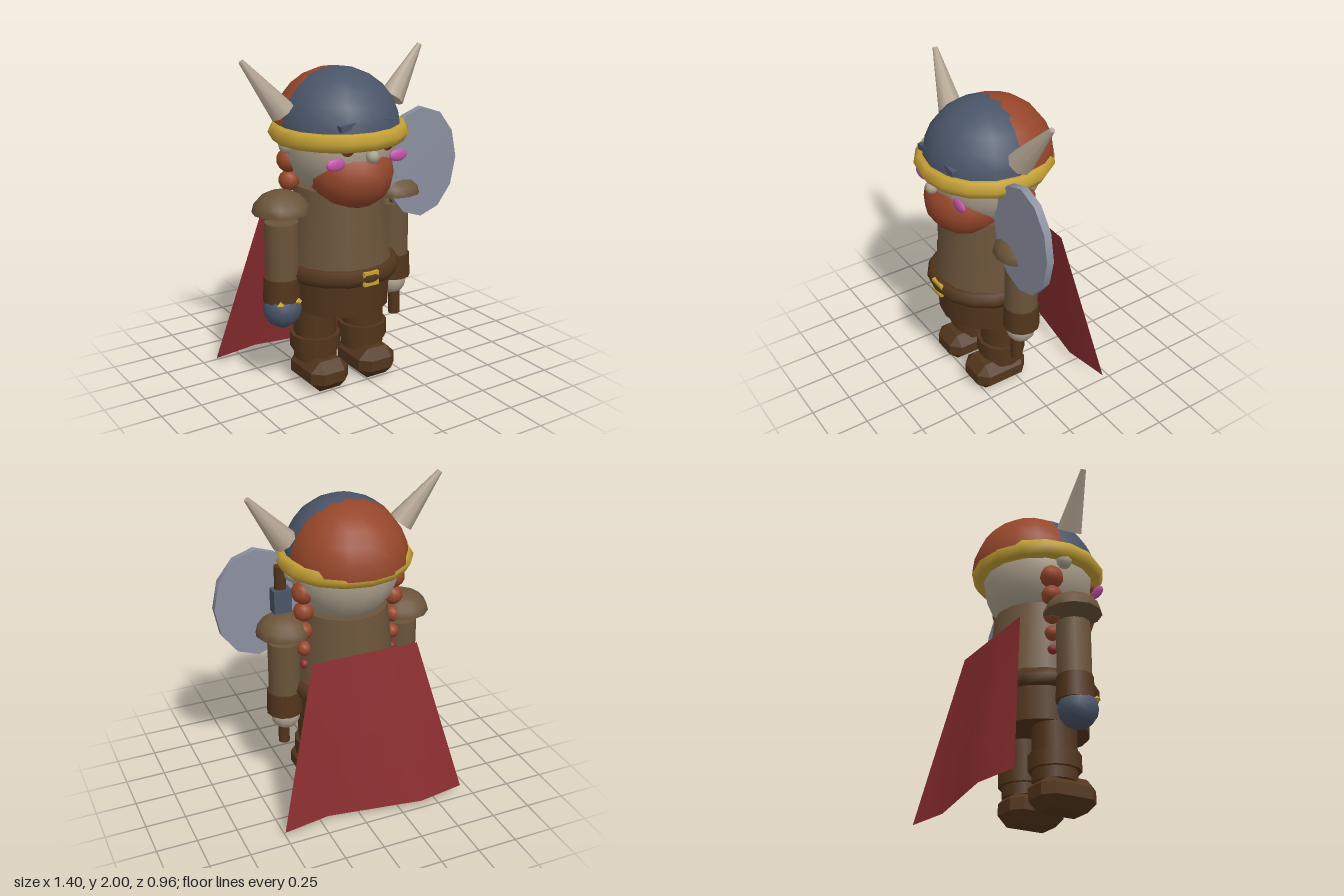
import * as THREE from 'three';
import { ConvexGeometry } from 'three/addons/geometries/ConvexGeometry.js';

const CX = -0.09, CZ = 0.065; // body axis

export function createModel() {
  const root = new THREE.Group();
  const body = new THREE.Group();
  body.name = 'body';
  body.position.set(CX, 0, CZ);
  root.add(body);

  const paint = (name, color, extra = {}) => {
    const m = new THREE.MeshStandardMaterial({ color, ...extra });
    m.name = name;
    return m;
  };
  const double = { side: THREE.DoubleSide };
  const tan = paint('tan leather', 0x6b543a);
  const brown = paint('dark leather', 0x52351c);
  const skin = paint('skin', 0xaea28f);
  const hair = paint('ginger hair', 0x96462a, double);
  const iron = paint('blue iron', 0x4a5568, double);
  const gold = paint('gold', 0xc4a035);
  const pink = paint('rosy pink', 0xc455ac);
  const red = paint('cape red', 0x8a2d30, double);
  const horn = paint('horn', 0xb4a593);
  const steel = paint('steel', 0x8b90a0);

  const add = (name, geo, mat, x = 0, y = 0, z = 0, parent = body) => {
    const m = new THREE.Mesh(geo, mat);
    m.name = name;
    m.position.set(x, y, z);
    parent.add(m);
    return m;
  };
  const ball = (r, w = 12, h = 8) => new THREE.SphereGeometry(r, w, h);
  const dome = (r, w = 16, h = 6) => new THREE.SphereGeometry(r, w, h, 0, Math.PI * 2, 0, Math.PI / 2);
  const tube = (top, bottom, y0, y1, sides = 12) =>
    new THREE.CylinderGeometry(top, bottom, y1 - y0, sides).translate(0, (y0 + y1) / 2, 0);
  const ring = (R, r, sides = 6) => new THREE.TorusGeometry(R, r, sides, 16).rotateX(Math.PI / 2);

  // Box with every edge and corner cut off by c
  const chamferBox = (w, h, d, c) => {
    const pts = [], a = [w / 2, h / 2, d / 2];
    for (const sx of [-1, 1]) for (const sy of [-1, 1]) for (const sz of [-1, 1])
      for (let k = 0; k < 3; k++) {
        const e = a.map((v, i) => (i === k ? v : v - c));
        pts.push(new THREE.Vector3(sx * e[0], sy * e[1], sz * e[2]));
      }
    return new ConvexGeometry(pts);
  };

  // Torso, hips and belt
  add('torso', tube(0.265, 0.32, 0.73, 1.24, 16), tan);
  add('hips', tube(0.31, 0.298, 0.49, 0.735, 16), brown);
  add('belt', ring(0.312, 0.055), brown, 0, 0.737, 0);
  for (const s of [-1, 1]) {
    add('buckleBar', new THREE.BoxGeometry(0.1, 0.018, 0.03), gold, 0, 0.737 + s * 0.033, 0.342);
    add('buckleSide', new THREE.BoxGeometry(0.016, 0.07, 0.03), gold, s * 0.045, 0.737, 0.335);
  }

  // Head, helmet and hair
  add('head', ball(0.335, 16, 12), skin, 0, 1.495, 0);
  add('helmet', dome(0.365), iron, 0, 1.55, 0);
  add('backHair', dome(0.36), hair, 0, 1.55, -0.055);
  add('helmetBrim', ring(0.355, 0.057), gold, 0, 1.55, 0);

  // Beard, open at the top against the face
  const beard = add('beard', new THREE.SphereGeometry(1, 14, 7, 0, Math.PI * 2, 0.98, Math.PI - 0.98),
    hair, 0, 1.32, 0.135);
  beard.scale.set(0.25, 0.21, 0.245);
  add('nose', ball(0.04, 8, 6), skin, 0, 1.46, 0.355);

  // Mirrored parts
  for (const s of [-1, 1]) {
    const side = s > 0 ? 'left' : 'right';

    // Face
    add(side + 'Ear', ball(0.05, 8, 6), skin, s * 0.335, 1.495, -0.02);
    add(side + 'Eye', ball(0.04, 8, 6), hair, s * 0.13, 1.505, 0.295);
    add(side + 'Pupil', ball(0.018, 8, 6), brown, s * 0.13, 1.502, 0.326);
    add(side + 'Cheek', ball(1), pink, s * 0.21, 1.432, 0.302).scale.set(0.062, 0.037, 0.018);

    // Raised plate on the helmet front
    add(side + 'HelmetPlate', new THREE.BoxGeometry(0.095, 0.034, 0.05), iron, s * 0.142, 1.636, 0.305)
      .rotation.z = -s * 0.15;

    // Horn
    const base = new THREE.Vector3(s * 0.37, 1.692, 0), tip = new THREE.Vector3(s * 0.598, 1.988, -0.038);
    const dir = tip.clone().sub(base);
    const h = add(side + 'Horn', new THREE.CylinderGeometry(0.016, 0.078, dir.length(), 8), horn);
    h.position.copy(base).addScaledVector(dir, 0.5);
    h.quaternion.setFromUnitVectors(new THREE.Vector3(0, 1, 0), dir.normalize());

    // Braid of shrinking beads with a tie at the end
    [[1.39, 0.072], [1.268, 0.062], [1.14, 0.054], [1.02, 0.046], [0.915, 0.03]].forEach(([y, r], i) =>
      add(side + (i < 4 ? 'BraidBead' : 'BraidTie'), ball(r, 10, 7), i < 4 ? hair : red, s * 0.29, y, -0.08));

    // Arm
    add(side + 'ShoulderPad', dome(0.17, 12, 4), tan, s * 0.39, 1.115, 0).scale.y = 0.75;
    add(side + 'PadUnderside', new THREE.CircleGeometry(0.17, 12).rotateX(Math.PI / 2), tan, s * 0.39, 1.115, 0);
    add(side + 'Arm', tube(0.1, 0.1, 0.6, 1.055), tan, s * 0.39, 0, 0);
    add(side + 'Bracer', tube(0.105, 0.112, 0.57, 0.72), brown, s * 0.395, 0, 0);

    // Leg and boot
    add(side + 'Leg', tube(0.13, 0.13, 0.16, 0.6), brown, s * 0.17, 0, 0);
    add(side + 'BootCuff', tube(0.153, 0.153, 0.228, 0.322), brown, s * 0.17, 0, 0);
    add(side + 'Boot', chamferBox(0.26, 0.19, 0.36, 0.06), brown, s * 0.17, 0.095, 0.045);
  }

  // Hands: a bare one on the axe, an iron fist on the other side
  add('leftHand', ball(0.092), skin, 0.39, 0.54, 0);
  add('rightFist', ball(0.116), iron, -0.4, 0.527, 0.012);
  for (const s of [-1, 1])
    add('fistStud', new THREE.OctahedronGeometry(0.024), gold, -0.4 + s * 0.06, 0.583, 0.1);

  // Axe
  const axe = new THREE.Group();
  axe.name = 'axe';
  axe.position.set(0.302, 0, 0.095);
  root.add(axe);
  add('axeHandle', tube(0.037, 0.037, 0.325, 1.53, 8), brown, 0, 0, 0, axe);
  add('axeSocket', new THREE.BoxGeometry(0.11, 0.145, 0.09), iron, 0, 1.315, 0.0, axe);
  const blade = add('axeBlade', new THREE.CylinderGeometry(0.34, 0.34, 0.045, 12).rotateX(Math.PI / 2),
    steel, 0.135, 1.3, 0.055, axe);
  blade.scale.x = 0.765;

  // Cape: flares and ripples towards the hem
  const cape = new THREE.PlaneGeometry(2, 1, 4, 4);
  const p = cape.attributes.position;
  for (let i = 0; i < p.count; i++) {
    const u = p.getX(i), t = 0.5 - p.getY(i);
    p.setXYZ(i, CX + u * (0.338 + 0.259 * t), 1.045 - 1.005 * t,
      -0.258 - 0.182 * t + 0.046 * t * Math.sin(u * Math.PI));
  }
  cape.computeVertexNormals();
  add('cape', cape, red, 0, 0, 0, root);

  return root;
}
